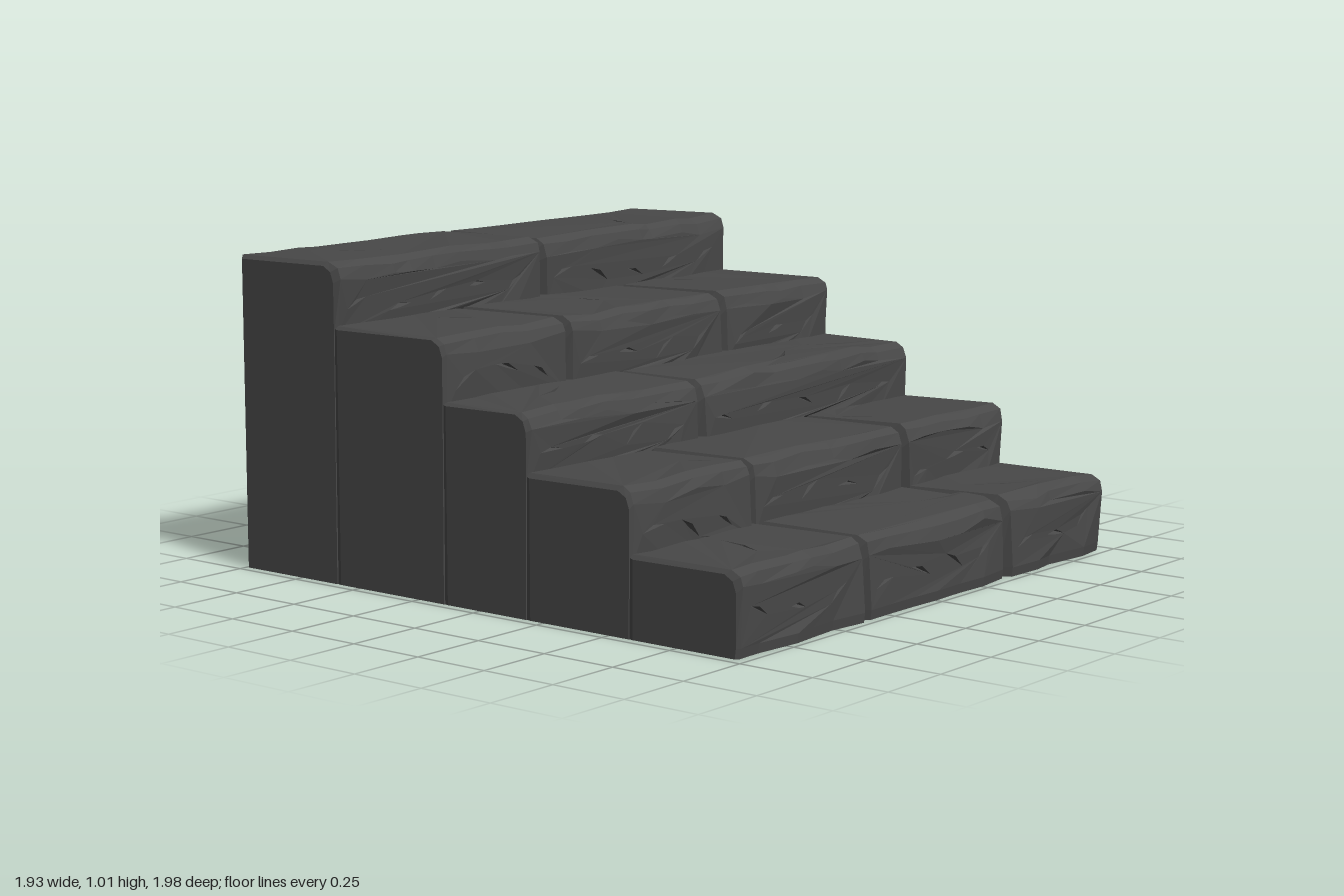
import * as THREE from 'three';

const LEFT = 0.96, RIGHT = -0.97, BACK = -1;

// Each step: top height, front z, x of the joints between stones, and the main
// cracks as [start, start, length, degrees]: on the tread (x, z), on the left wall (z, y).
const STEPS = [
  { top: 0.25, front: 0.975, joints: [-0.365, 0.4], wall: [],
    tread: [[-0.71, 0.84, 0.19, -72], [0.2, 0.77, 0.28, 4], [0.52, 0.72, 0.28, 35]] },
  { top: 0.44, front: 0.59, joints: [-0.41, 0.385], wall: [],
    tread: [[-0.53, 0.41, 0.11, 45], [0.43, 0.29, 0.13, 58]] },
  { top: 0.62, front: 0.2, joints: [-0.155], wall: [[0.14, 0.04, 0.18, 126]],
    tread: [[-0.72, 0.02, 0.2, -23], [0.3, 0.12, 0.25, -26], [0.66, -0.02, 0.29, 27]] },
  { top: 0.81, front: -0.13, joints: [-0.41, 0.38], wall: [],
    tread: [[-0.64, -0.47, 0.13, 58], [0, -0.45, 0.11, 85], [0.57, -0.56, 0.18, 56]] },
  { top: 1, front: -0.58, joints: [-0.02], wall: [[-0.61, 0.72, 0.4, -97]],
    tread: [[-0.77, -0.9, 0.24, 45], [0.58, -0.78, 0.1, 114]] },
];

let seed = 7;
function jitter(size) {
  seed = (seed * 16807) % 2147483647;
  return (seed / 2147483647 * 2 - 1) * size;
}

function quad(out, a, b, c, d) {
  out.push(a, b, c, a, c, d);
}

// Slightly bent line of three points
function crackPath([u, v, length, degrees]) {
  const a = degrees * Math.PI / 180, du = Math.cos(a) * length, dv = Math.sin(a) * length;
  return [[u, v], [u + du / 2 - dv * 0.06, v + dv / 2 + du * 0.06], [u + du, v + dv]];
}

// Flat face with V-shaped cracks cut into it; lift maps (u, v, depth) to space
function crackedPanel(out, rim, flatten, cracks, lift) {
  const points = [...rim];
  const holes = cracks.map((path, k) => {
    const width = 0.006 + 0.002 * (k % 2);
    const [a, m, b] = path;
    const length = Math.hypot(b[0] - a[0], b[1] - a[1]);
    const nu = -(b[1] - a[1]) / length * width, nv = (b[0] - a[0]) / length * width;
    const loop = [a, [m[0] + nu, m[1] + nv], b, [m[0] - nu, m[1] - nv]];
    const [A, L, B, R] = loop.map(p => lift(...p, 0));
    const keel = lift(m[0] + nu / 2, m[1] + nv / 2, 0.03);
    out.push(L, A, keel, L, keel, B, R, keel, A, R, B, keel);
    points.push(A, L, B, R);
    return loop.map(p => new THREE.Vector2(...p));
  });
  for (const [a, b, c] of THREE.ShapeUtils.triangulateShape(rim.map(flatten), holes)) {
    out.push(points[a], points[b], points[c]);
  }
}

// One stone: seven-point section lofted along x, pulled in at both ends
function stoneGeometry(step, start, end, lowY, backZ, last) {
  const { top, front } = step;
  const out = [];
  const outer = [start === RIGHT, end === LEFT];
  const chamfer = outer.map(o => (o ? 0.012 : 0.02));
  const slants = outer.map(o => (o ? 0 : 0.008));
  const from = start + chamfer[0], to = end - chamfer[1];
  const count = Math.max(3, Math.round((to - from) / 0.12));
  const xs = [start];
  for (let i = 0; i <= count; i++) {
    xs.push(from + (to - from) * i / count + (i % count ? jitter(0.03) : 0));
  }
  xs.push(end);
  const n = xs.length - 1;

  const rows = xs.map((x, i) => {
    const tip = i === 0 || i === n, side = i < n / 2 ? 0 : 1;
    const j = tip ? () => 0 : jitter;
    const pull = tip ? (outer[side] ? 0.012 : 0.035) : 0;
    const backPull = tip ? (last ? pull * 0.7 : 0.05) : 0;
    const slant = i < 2 || i > n - 2 ? slants[side] : 0;
    const face = front + j(0.009) - pull, crest = top + j(0.007) - pull;
    const foot = front + j(0.01) - pull;
    const rear = backZ + backPull;
    return [
      [slant, 0, foot - 0.004],
      [slant, lowY, foot],
      [0, crest - 0.05 + j(0.012), face],
      [0, crest - 0.017, face - 0.012 + j(0.005)],
      [0, crest, face - 0.042 + j(0.01)],
      [-slant / 2, top - 0.003 - pull + j(0.003), rear],
      [-slant / 2, 0, rear],
    ].map(([dx, y, z]) => new THREE.Vector3(x + dx, y, z));
  });

  for (let i = 0; i < n; i++) {
    const main = i > 0 && i < n - 1;
    for (let r = 0; r < 7; r++) {
      if (main && (r === 1 || r === 4)) continue;
      const s = (r + 1) % 7;
      quad(out, rows[i][r], rows[i + 1][r], rows[i + 1][s], rows[i][s]);
    }
  }

  // Front face with evenly scattered small cracks
  const inner = rows.slice(1, -1);
  const rim = (a, b) => [...inner.map(r => r[a]), ...inner.map(r => r[b]).reverse()];
  const chips = Math.round((to - from) / 0.2);
  const frontCracks = Array.from({ length: chips }, (_, k) => {
    const length = 0.09 + jitter(0.02), degrees = jitter(40);
    const rise = Math.sin(degrees * Math.PI / 180) * length;
    const middle = (lowY + top - 0.06) / 2 + jitter(0.02);
    return crackPath([from + (to - from) * (k + 0.2) / chips, middle - rise / 2, length, degrees]);
  });
  crackedPanel(out, rim(1, 2), p => new THREE.Vector2(p.x, p.y), frontCracks,
    (u, v, d) => new THREE.Vector3(u, v, front - d));

  // Tread
  const treadCracks = step.tread.filter(([x]) => x > start && x < end)
    .map(c => crackPath(c).map(([x, z]) => [x, -z]));
  crackedPanel(out, rim(4, 5), p => new THREE.Vector2(p.x, -p.z), treadCracks,
    (u, v, d) => new THREE.Vector3(u, top - d, -v));

  // Outer side walls
  if (outer[0]) {
    crackedPanel(out, rows[0], p => new THREE.Vector2(p.z, p.y), [],
      (u, v, d) => new THREE.Vector3(RIGHT + d, v, u));
  }
  if (outer[1]) {
    crackedPanel(out, [...rows[n]].reverse(), p => new THREE.Vector2(-p.z, p.y),
      step.wall.map(c => crackPath(c).map(([z, y]) => [-z, y])),
      (u, v, d) => new THREE.Vector3(LEFT - d, v, -u));
  }

  const geometry = new THREE.BufferGeometry().setFromPoints(out);
  geometry.computeVertexNormals();
  return geometry;
}

export function createModel() {
  seed = 7;
  const stone = new THREE.MeshStandardMaterial({ color: 0x484848, flatShading: true });
  stone.name = 'dark stone';
  const model = new THREE.Group();
  model.name = 'stoneSteps';

  STEPS.forEach((step, k) => {
    const group = new THREE.Group();
    group.name = `step${k + 1}`;
    const last = k === STEPS.length - 1;
    const lowY = k ? STEPS[k - 1].top - 0.03 : 0.03;
    const backZ = last ? BACK : STEPS[k + 1].front - 0.05;
    const ends = [RIGHT, ...step.joints, LEFT];
    for (let i = 0; i < ends.length - 1; i++) {
      const mesh = new THREE.Mesh(stoneGeometry(step, ends[i], ends[i + 1], lowY, backZ, last), stone);
      mesh.name = `stone${i + 1}`;
      group.add(mesh);
    }
    model.add(group);
  });
  return model;
}
